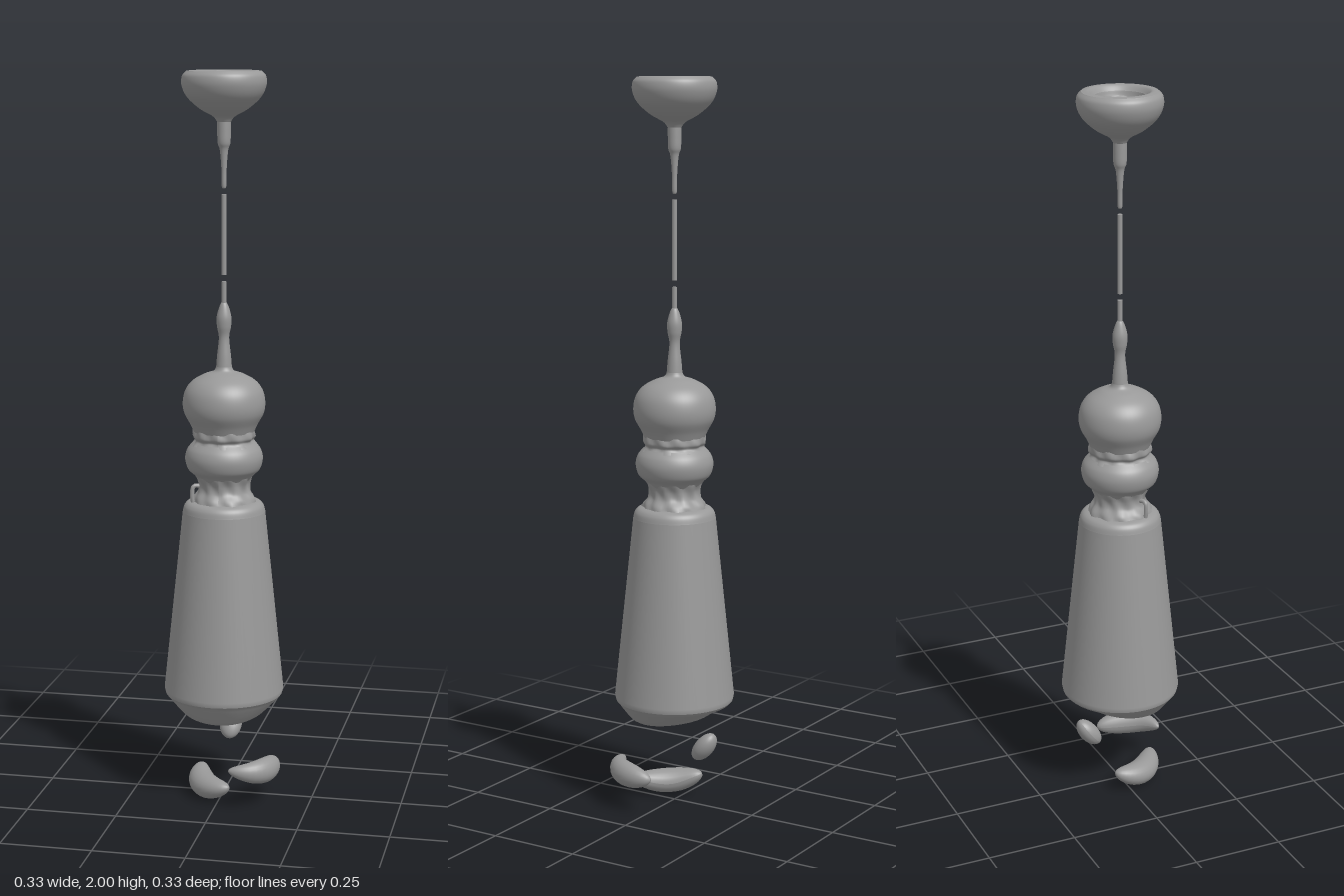
import * as THREE from 'three';

const plaster = new THREE.MeshStandardMaterial({ color: 0x999999 });
plaster.name = 'plain grey';

export function createModel() {
  const group = new THREE.Group();

  const add = (name, geometry) => {
    const mesh = new THREE.Mesh(geometry, plaster);
    mesh.name = name;
    group.add(mesh);
    return mesh;
  };

  // Turned part from [radius, height] pairs, listed along the outline from bottom to top
  const turned = (name, pairs, smooth = true, wobble = 0) => {
    let points = pairs.map(([r, y]) => new THREE.Vector2(r, y));
    if (smooth) points = new THREE.SplineCurve(points).getPoints(pairs.length * 6);
    points.forEach(p => { p.x = Math.max(p.x, 0); });
    const geometry = new THREE.LatheGeometry(points, 56);
    if (wobble) {
      const pos = geometry.attributes.position;
      for (let i = 0; i < pos.count; i++) {
        const x = pos.getX(i), y = pos.getY(i), z = pos.getZ(i);
        const a = Math.atan2(z, x);
        const k = 1 + wobble * (Math.sin(a * 7 + y * 60) + Math.sin(a * 11 - y * 95));
        pos.setXYZ(i, x * k, y, z * k);
      }
      geometry.computeVertexNormals();
    }
    return add(name, geometry);
  };

  // Ceiling canopy, its dished top and the tapering stem below it
  turned('canopy', [[0.018, 1.865], [0.03, 1.88], [0.065, 1.9], [0.098, 1.93],
    [0.112, 1.96], [0.111, 1.985], [0.1, 1.998]]);
  turned('canopyRim', [[0.068, 1.985], [0.082, 1.999], [0.1, 1.998]].reverse());
  const dish = turned('canopyDish', [[0.068, 1.985], [0.06, 1.965], [0.035, 1.96], [0, 1.962]]);
  const dishPos = dish.geometry.attributes.position;
  for (let i = 0; i < dishPos.count; i++) {
    const x = dishPos.getX(i), z = dishPos.getZ(i);
    const r = Math.hypot(x, z);
    if (r < 0.064) dishPos.setY(i, dishPos.getY(i) + 0.004 * Math.sin(x * 90) * Math.cos(z * 110));
  }
  dish.geometry.computeVertexNormals();
  turned('canopyStem', [[0, 1.692], [0.006, 1.695], [0.007, 1.74], [0.011, 1.79],
    [0.017, 1.81], [0.018, 1.84], [0.018, 1.87]]);

  // Broken cord
  for (const [low, high] of [[1.46, 1.675], [1.37, 1.442]]) {
    const cord = add('cord', new THREE.CylinderGeometry(0.007, 0.007, high - low, 10));
    cord.position.y = (low + high) / 2;
  }

  // Finial, ball, ring and neck in one flowing outline
  turned('finial', [[0.022, 1.2], [0.019, 1.24], [0.014, 1.29], [0.019, 1.32],
    [0.02, 1.345], [0.014, 1.37], [0.007, 1.385], [0, 1.386]]);
  turned('ball', [[0.083, 1.035], [0.092, 1.055], [0.108, 1.085], [0.112, 1.115],
    [0.105, 1.147], [0.086, 1.172], [0.055, 1.19], [0.028, 1.2], [0.02, 1.215]]);
  turned('collar', [[0.088, 0.998], [0.079, 1.01], [0.085, 1.022], [0.082, 1.045]], true, 0.022);
  turned('ring', [[0.07, 0.9], [0.082, 0.915], [0.099, 0.932], [0.106, 0.96],
    [0.1, 0.985], [0.084, 1.004]]);
  turned('neck', [[0.092, 0.825], [0.084, 0.85], [0.071, 0.87], [0.07, 0.89], [0.078, 0.912]], true, 0.022);

  // Small loose hook beside the neck
  const hook = add('hook', new THREE.TubeGeometry(new THREE.CatmullRomCurve3([
    new THREE.Vector3(-0.076, 0.83, 0.04), new THREE.Vector3(-0.08, 0.86, 0.042),
    new THREE.Vector3(-0.076, 0.885, 0.04), new THREE.Vector3(-0.056, 0.885, 0.03)
  ]), 16, 0.006, 8));
  hook.castShadow = false;

  // Tall tapering shade with a rounded shoulder
  turned('shadeShoulder', [[0.113, 0.812], [0.108, 0.829], [0.095, 0.84], [0.065, 0.845]]);
  turned('shade', [[0.162, 0.298], [0.165, 0.312], [0.113, 0.812]], false);

  // Swollen lip around the hollow underside, hanging lower at the front
  const lip = turned('shadeUnderside', [[0, 0.31], [0.03, 0.305], [0.045, 0.27], [0.062, 0.243],
    [0.085, 0.238], [0.115, 0.253], [0.145, 0.28], [0.162, 0.298]]);
  const lipPos = lip.geometry.attributes.position;
  for (let i = 0; i < lipPos.count; i++) {
    const y = lipPos.getY(i), z = lipPos.getZ(i);
    const r = Math.hypot(lipPos.getX(i), z);
    if (r < 0.155) lipPos.setY(i, y - 0.15 * z * Math.min(1, (0.155 - r) / 0.04));
  }
  lip.geometry.computeVertexNormals();

  // Loose lumps: a sphere stretched and bent along a curve
  const lump = (name, a, b, c, width, height, taper) => {
    const curve = new THREE.QuadraticBezierCurve3(
      new THREE.Vector3(...a), new THREE.Vector3(...b), new THREE.Vector3(...c));
    const geometry = new THREE.SphereGeometry(1, 24, 20);
    const pos = geometry.attributes.position;
    const up = new THREE.Vector3(0, 1, 0);
    for (let i = 0; i < pos.count; i++) {
      const t = (pos.getY(i) + 1) / 2;
      const tangent = curve.getTangent(t);
      const side = new THREE.Vector3().crossVectors(tangent, up).normalize();
      const lift = new THREE.Vector3().crossVectors(side, tangent);
      const size = 1 - taper * (1 - t);
      const p = curve.getPoint(t)
        .addScaledVector(side, pos.getX(i) * width * size)
        .addScaledVector(lift, pos.getZ(i) * height * size);
      pos.setXYZ(i, p.x, p.y, p.z);
    }
    geometry.computeVertexNormals();
    add(name, geometry);
  };
  lump('upperLump', [0.04, 0.115, 0.14], [0.15, 0.1, 0.13], [0.14, 0.1, -0.01], 0.037, 0.042, 0.4);
  lump('lowerLump', [-0.07, 0.065, -0.045], [-0.075, 0.015, 0.06], [0.035, 0.055, 0.11], 0.038, 0.034, 0);
  lump('smallLump', [0, 0.137, -0.065], [0, 0.17, -0.1], [0, 0.212, -0.125], 0.032, 0.026, 0);

  return group;
}
